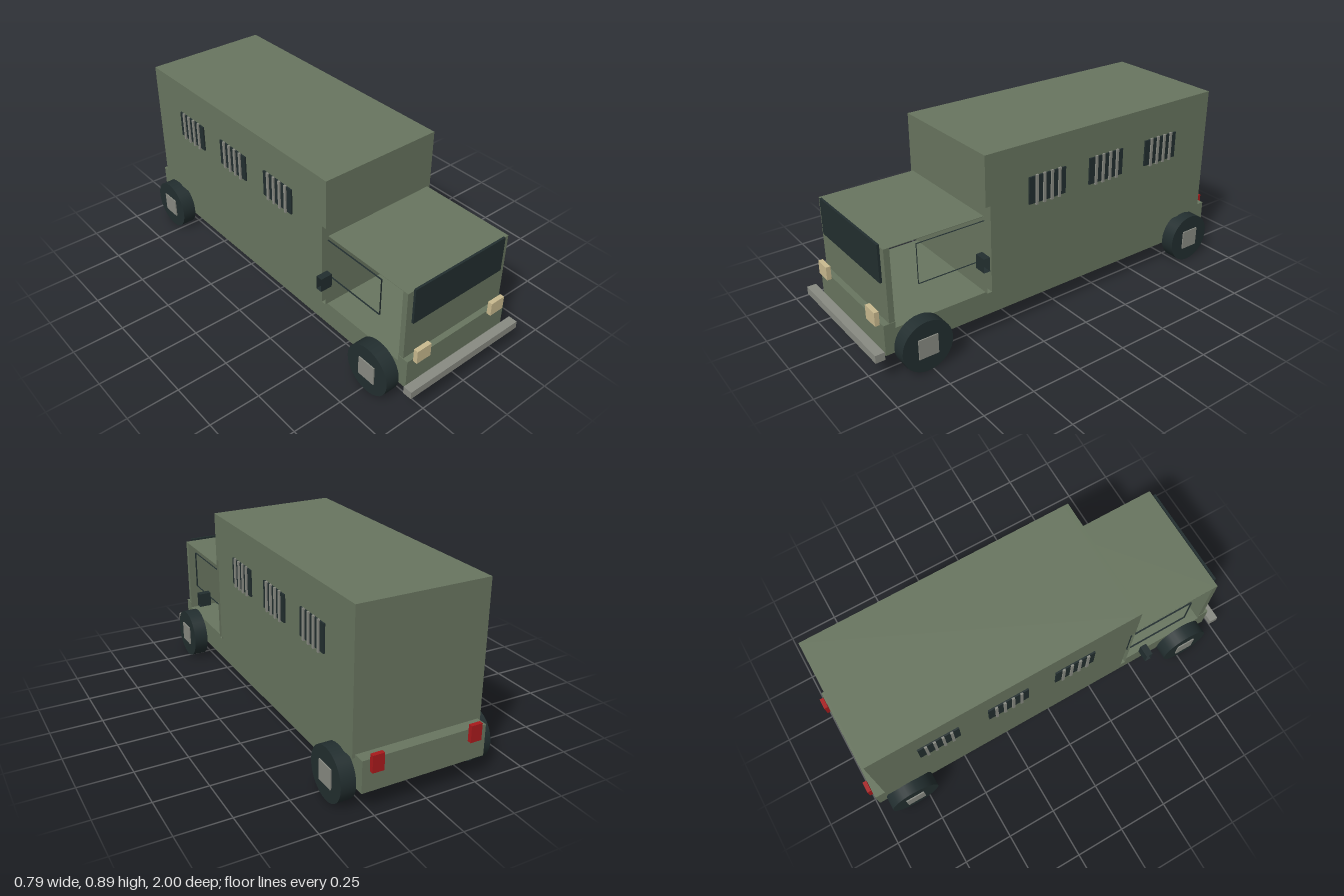
import * as THREE from 'three';

export function createModel() {
  const group = new THREE.Group();
  const paint = (name, color, side = THREE.FrontSide) => {
    const m = new THREE.MeshStandardMaterial({ color, side });
    m.name = name;
    return m;
  };
  const green = paint('olive green', 0x68755f, THREE.DoubleSide);
  const dark = paint('dark glass and rubber', 0x222e2f, THREE.DoubleSide);
  const grey = paint('metal grey', 0x888a82);
  const cream = paint('lamp cream', 0xc9ba8f);
  const red = paint('tail lamp red', 0xa81a1c);

  const add = (name, geometry, material) => {
    const mesh = new THREE.Mesh(geometry, material);
    mesh.name = name;
    group.add(mesh);
    return mesh;
  };
  // Box given by its limits on each axis; open boxes lose both side faces
  const box = (name, material, [x0, x1], [y0, y1], [z0, z1], open = false) => {
    const g = new THREE.BoxGeometry(x1 - x0, y1 - y0, z1 - z0);
    if (open) {
      g.setIndex(Array.from(g.index.array).slice(12));
      g.clearGroups();
    }
    g.translate((x0 + x1) / 2, (y0 + y1) / 2, (z0 + z1) / 2);
    return add(name, g, material);
  };
  const sideRange = (s, a, b) => (s > 0 ? [a, b] : [-b, -a]);

  // Chassis, raised at the nose and below the cargo body
  box('chassis', green, [-0.3, 0.3], [0.105, 0.225], [-0.98, 0.935]);
  box('chassisNose', green, [-0.3, 0.3], [0.225, 0.255], [0.88, 0.935]);
  box('chassisRear', green, [-0.3, 0.3], [0.225, 0.255], [-0.98, 0.4]);

  // Cargo body with a lip over the cab
  box('cargoBody', green, [-0.313, 0.313], [0.24, 0.89], [-0.925, 0.4]);
  box('cargoLip', green, [-0.313, 0.313], [0.65, 0.89], [0.4, 0.425]);
  box('cabRearWall', green, [-0.313, 0.313], [0.225, 0.65], [0.4, 0.425], true);

  // Cab: front panel and thin roof, open at the sides
  box('cabFront', green, [-0.297, 0.297], [0.225, 0.605], [0.88, 0.907]);
  box('cabRoof', green, [-0.297, 0.297], [0.603, 0.605], [0.425, 0.9]);
  box('windshield', dark, [-0.265, 0.265], [0.437, 0.615], [0.907, 0.918]);

  // Front bumper
  box('bumper', grey, [-0.333, 0.333], [0.115, 0.153], [0.955, 1]);

  for (const s of [1, -1]) {
    // Lamps
    box('headlight', cream, sideRange(s, 0.187, 0.267), [0.243, 0.31], [0.935, 0.957]);
    box('tailLight', red, sideRange(s, 0.21, 0.265), [0.2, 0.28], [-1, -0.98]);

    // Open side window frame and mirror
    box('sideWindowFrame', dark, sideRange(s, 0.296, 0.304), [0.395, 0.585], [0.42, 0.76], true);
    box('mirror', dark, sideRange(s, 0.338, 0.397), [0.395, 0.463], [0.465, 0.497], true);

    // Cargo windows with upright bars
    for (const z of [0.095, -0.25, -0.6]) {
      box('cargoWindow', dark, sideRange(s, 0.313, 0.321), [0.6, 0.73], [z - 0.102, z + 0.102]);
      for (let i = 0; i < 4; i++) {
        const c = z + (i - 1.5) * 0.0425;
        box('windowBar', grey, sideRange(s, 0.319, 0.328), [0.593, 0.737], [c - 0.0065, c + 0.0065]);
      }
    }

    // Wheels with square hubs
    for (const z of [0.77, -0.815]) {
      const tyre = new THREE.CylinderGeometry(0.124, 0.124, 0.07, 32);
      tyre.rotateZ(Math.PI / 2).translate(s * 0.335, 0.124, z);
      add('tyre', tyre, dark);
      box('hub', grey, sideRange(s, 0.294, 0.376), [0.076, 0.172], [z - 0.048, z + 0.048]);
    }
  }
  return group;
}
